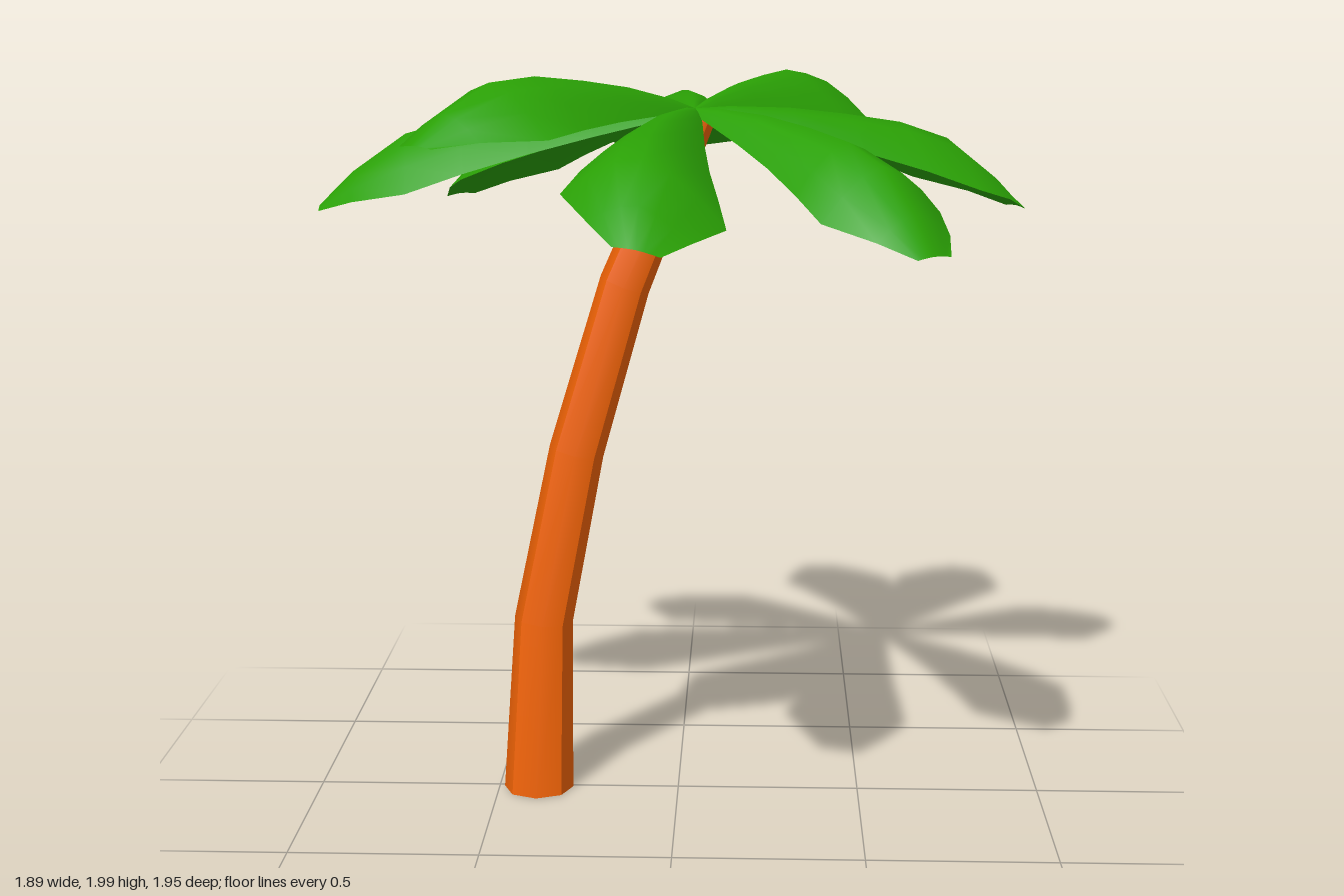
import * as THREE from 'three';
import { mergeGeometries } from 'three/addons/utils/BufferGeometryUtils.js';

const bark = new THREE.MeshStandardMaterial({ color: 0xf56506, side: THREE.DoubleSide });
const green = new THREE.MeshStandardMaterial({ color: 0x2aa005, side: THREE.DoubleSide });

// One quarter of the trunk: an open arc whose rings are shifted, scaled and tilted
function trunkSide(start) {
  // x centre, height, radius, tilt of each ring
  const rings = [
    [-0.39, 0, 0.096, 0],
    [-0.37, 0.49, 0.08, 0.1],
    [-0.275, 0.965, 0.074, 0.22],
    [-0.142, 1.42, 0.068, 0.36],
    [0.045, 1.87, 0.056, 0.42],
  ];
  const geo = new THREE.CylinderGeometry(1, 1, 4, 2, 4, true, start, Math.PI / 2);
  const p = geo.attributes.position;
  for (let i = 0; i < p.count; i++) {
    const [cx, cy, r, tilt] = rings[Math.round(p.getY(i) + 2)];
    const x = p.getX(i) * r;
    p.setXYZ(i, cx + x * Math.cos(tilt), cy - x * Math.sin(tilt), 0.01 + p.getZ(i) * r);
  }
  geo.computeVertexNormals();
  return geo;
}

// Leaning open trunk, creased along four edges
function makeTrunk() {
  const sides = [1, 3, 5, 7].map((k) => trunkSide((k * Math.PI) / 4));
  const trunk = new THREE.Mesh(mergeGeometries(sides), bark);
  trunk.name = 'trunk';
  return trunk;
}

// Stations along a leaf: fraction of length, half width, ridge height, side droop
const stations = [
  [0, 0.015, 1.885, 0.01],
  [0.1, 0.042, 1.89, 0.035],
  [0.28, 0.085, 1.885, 0.07],
  [0.45, 0.125, 1.868, 0.095],
  [0.62, 0.166, 1.845, 0.12],
  [0.77, 0.195, 1.8, 0.125],
  [0.91, 0.12, 1.7, 0.06],
  [1, 0.055, 1.61, 0.005],
];

// Arched leaf from the crown to (tipX, tipZ); lift raises it, roll tips it
// sideways, bow curves it sideways and fat widens its inner half
function makeLeaf(tipX, tipZ, lift, roll, bow, fat) {
  const x0 = 0.045, z0 = 0;
  const dx = tipX - x0, dz = tipZ - z0, len = Math.hypot(dx, dz);
  const sx = dz / len, sz = -dx / len;
  const pos = [], index = [], cols = 7;
  stations.forEach(([t, w, y, droop], i) => {
    const arc = Math.sin(Math.PI * t);
    for (let j = 0; j < cols; j++) {
      const u = (2 * j) / (cols - 1) - 1;
      const side = (w + fat * arc * (1 - t)) * u + bow * arc;
      pos.push(
        x0 + dx * t + sx * side,
        y + lift * t - droop * Math.abs(u) ** 1.6 - roll * w * u,
        z0 + dz * t + sz * side
      );
      if (i && j) {
        const d = i * cols + j, c = d - 1, b = d - cols, a = b - 1;
        index.push(a, c, b, b, c, d);
      }
    }
  });
  const geo = new THREE.BufferGeometry();
  geo.setAttribute('position', new THREE.Float32BufferAttribute(pos, 3));
  geo.setIndex(index);
  geo.computeVertexNormals();
  return new THREE.Mesh(geo, green);
}

export function createModel() {
  const model = new THREE.Group();
  model.name = 'palmTree';
  model.add(makeTrunk());

  // Crown of eight leaves: tip x, tip z, lift, roll, bow, fat
  const crown = new THREE.Group();
  crown.name = 'crown';
  [
    [-0.085, -0.97, 0.08, 0, -0.03, 0],
    [0.44, -0.88, 0.18, 0, 0, 0],
    [0.935, -0.39, -0.02, 0, 0, 0],
    [0.625, 0.685, -0.02, 0, 0.035, 0.01],
    [-0.06, 0.965, 0.03, 0.2, -0.03, 0],
    [-0.58, 0.75, 0.24, 0, 0.02, 0],
    [-0.93, 0.12, 0.03, 0.06, -0.02, 0.03],
    [-0.65, -0.56, -0.01, 0, 0, 0],
  ].forEach((leaf, i) => {
    const mesh = makeLeaf(...leaf);
    mesh.name = `leaf${i + 1}`;
    crown.add(mesh);
  });
  model.add(crown);
  return model;
}
